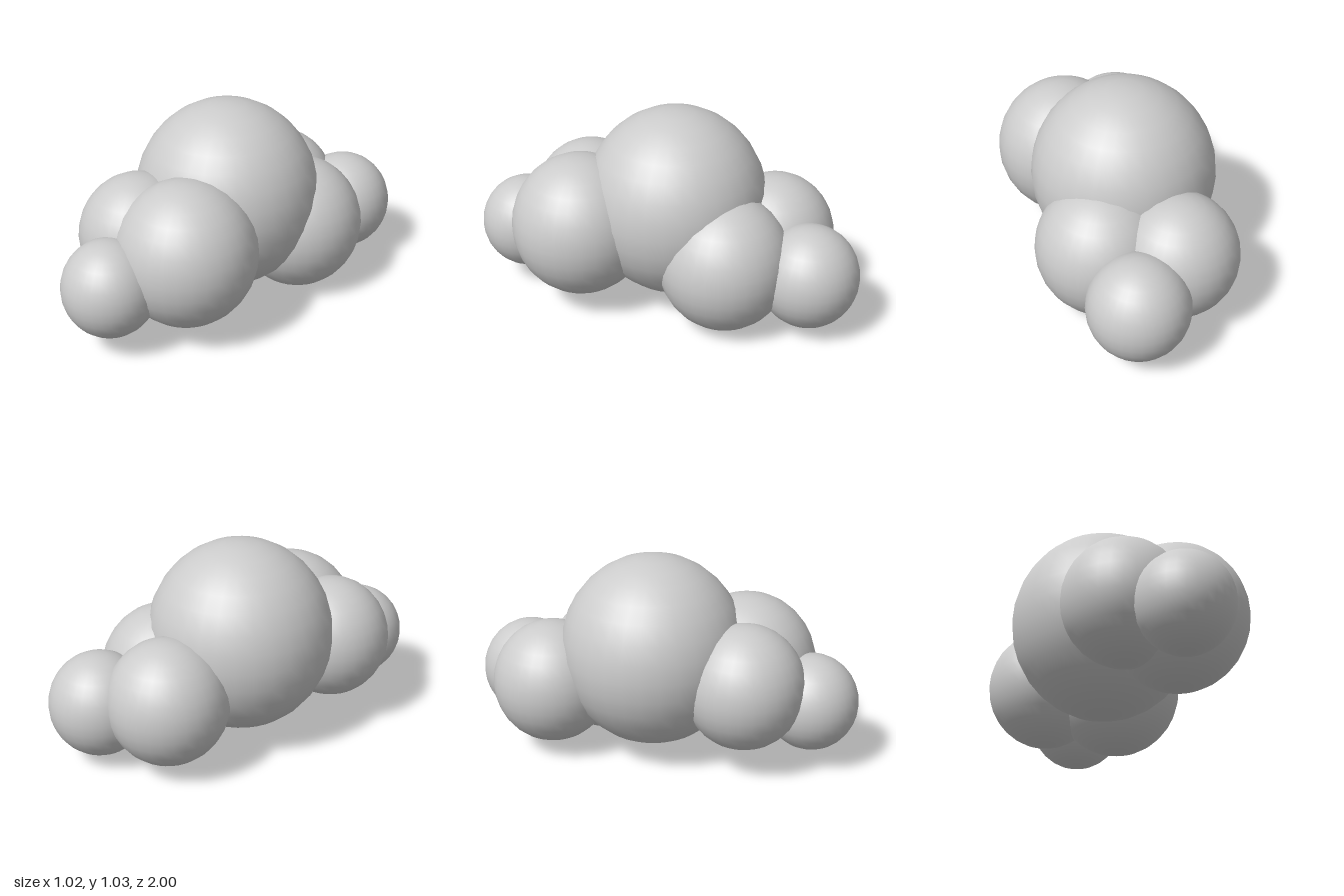
import * as THREE from 'three';

export function createModel() {
  const group = new THREE.Group();
  const material = new THREE.MeshStandardMaterial({ color: 0xcccccc });
  const puffShape = new THREE.SphereGeometry(1, 32, 16);

  // Each puff: name, centre, radius
  const puffs = [
    ['centrePuff', [-0.05, 0.55, -0.025], 0.462],
    ['frontLeftPuff', [0.16, 0.445, 0.405], 0.349],
    ['frontRightPuff', [-0.13, 0.445, 0.465], 0.299],
    ['frontTipPuff', [0.038, 0.335, 0.766], 0.232],
    ['backLeftPuff', [0.137, 0.348, -0.342], 0.33],
    ['backRightPuff', [-0.195, 0.37, -0.51], 0.3],
    ['backTipPuff', [0.063, 0.305, -0.748], 0.25],
  ];

  // All puffs are slightly taller than wide
  for (const [name, centre, radius] of puffs) {
    const puff = new THREE.Mesh(puffShape, material);
    puff.name = name;
    puff.position.set(...centre);
    puff.scale.set(radius, radius * 1.04, radius);
    group.add(puff);
  }
  return group;
}
